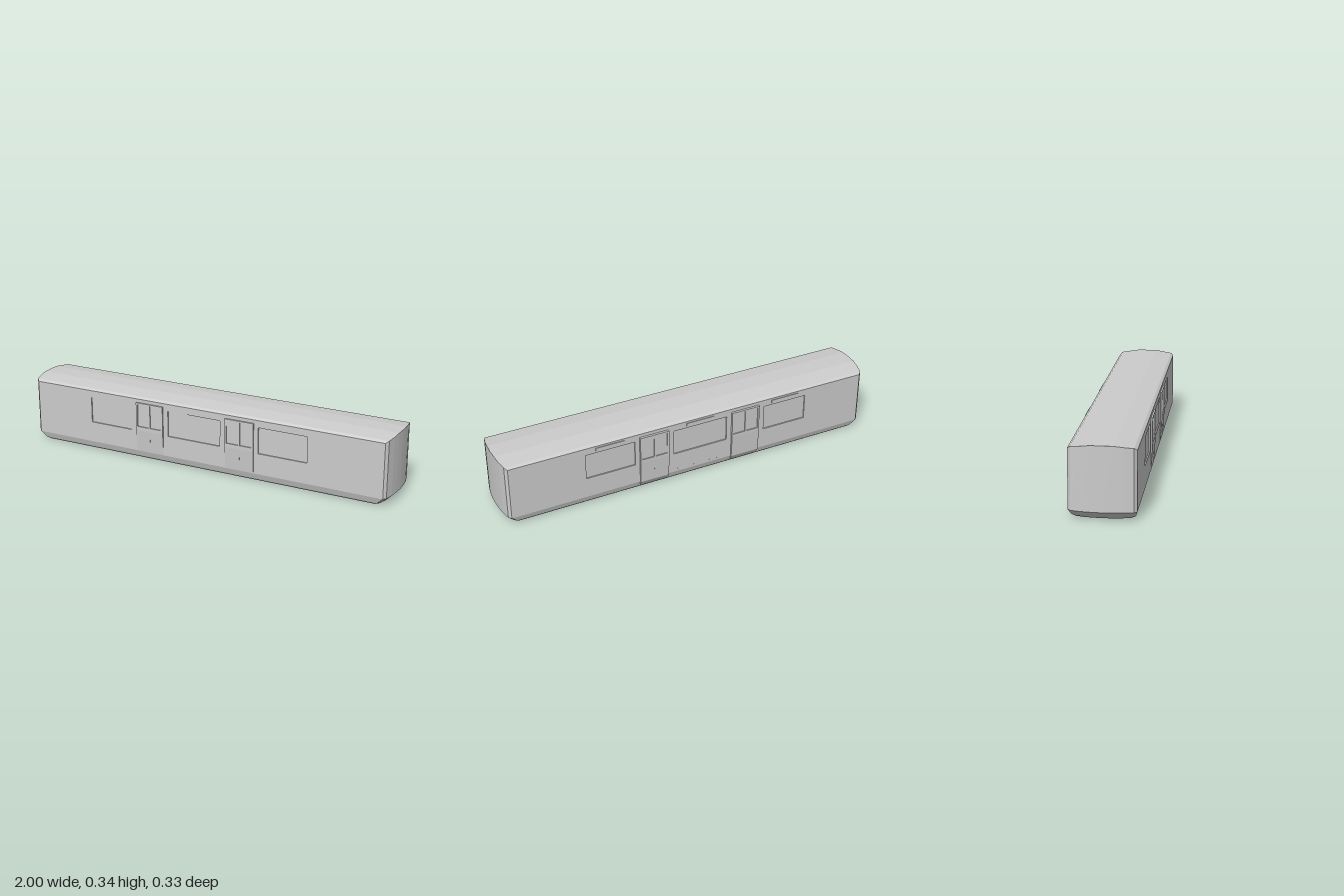
import * as THREE from 'three';

const GREY = new THREE.MeshStandardMaterial({ color: 0xcccccc, flatShading: true });
const GLASS = new THREE.MeshStandardMaterial({ color: 0xf2f2f2 });

const HALF = 0.1535;     // half width of the body
const CENTRE_Z = 0.0025; // body sits slightly forward, as the rear doors stand out further
const WALL_END = 0.97, WALL_LOW = 0.04, WALL_TOP = 0.32;

// Outline points across half the width: z, roof height, end position
const COLUMNS = [[0, 0.342, 1], [0.05, 0.342, 0.998], [0.095, 0.336, 0.993], [0.14, 0.33, 0.983], [HALF, WALL_TOP, WALL_END]];
// Lower levels: height, width factor, end inset
const LEVELS = [[0, 0.87, 0.045], [0.01, 0.935, 0.03], [WALL_LOW, 1, 0]];

const WINDOWS = [[-0.64, -0.4], [-0.185, 0.11], [0.32, 0.58]];
const DOORS = [[-0.367, -0.212], [0.141, 0.296]];
const WIN_Y = [0.148, 0.283];

function add(parent, name, geometry, material = GREY) {
  const mesh = new THREE.Mesh(geometry, material);
  mesh.name = name;
  parent.add(mesh);
  return mesh;
}

function box(parent, name, x0, x1, y0, y1, z0, z1, material) {
  const mesh = add(parent, name, new THREE.BoxGeometry(x1 - x0, y1 - y0, z1 - z0), material);
  mesh.position.set((x0 + x1) / 2, (y0 + y1) / 2, (z0 + z1) / 2);
  return mesh;
}

// Flat panel with rectangular openings; its outer face lies at z
function panel(x0, x1, y0, y1, holes, z, depth) {
  const trace = (path, a, b, c, d) => path.moveTo(a, c).lineTo(b, c).lineTo(b, d).lineTo(a, d).closePath();
  const shape = new THREE.Shape();
  trace(shape, x0, x1, y0, y1);
  for (const h of holes) {
    const hole = new THREE.Path();
    trace(hole, ...h);
    shape.holes.push(hole);
  }
  return new THREE.ExtrudeGeometry(shape, { depth, bevelEnabled: false }).translate(0, 0, z - depth);
}

// Roof, floor, lower skirts and bowed ends
function shellGeometry() {
  const cols = [...COLUMNS.slice(1).reverse().map(([z, y, x]) => [-z, y, x]), ...COLUMNS];
  const n = cols.length - 1;
  const point = (s, j, i) => {
    const [z, top, end] = cols[i];
    const [y, w, inset] = j < 3 ? LEVELS[j] : [top, 1, 0];
    return [s * (end - inset), y, z * w];
  };
  const P = (j, i) => point(1, j, i), M = (j, i) => point(-1, j, i);
  const out = [];
  const quad = (a, b, c, d) => out.push(...a, ...b, ...c, ...a, ...c, ...d);
  for (let i = 0; i < n; i++) {
    for (let j = 0; j < 3; j++) {
      quad(P(j, i + 1), P(j, i), P(j + 1, i), P(j + 1, i + 1));
      quad(M(j, i), M(j, i + 1), M(j + 1, i + 1), M(j + 1, i));
    }
    quad(M(3, i + 1), P(3, i + 1), P(3, i), M(3, i));
    quad(M(0, i), P(0, i), P(0, i + 1), M(0, i + 1));
  }
  for (let j = 0; j < 2; j++) {
    quad(M(j, n), P(j, n), P(j + 1, n), M(j + 1, n));
    quad(P(j, 0), M(j, 0), M(j + 1, 0), P(j + 1, 0));
  }
  const geometry = new THREE.BufferGeometry();
  geometry.setAttribute('position', new THREE.Float32BufferAttribute(out, 3));
  geometry.computeVertexNormals();
  return geometry;
}

// Double-leaf door: glazed upper half and sloping lower half
function door(x0, x1, face, lower) {
  const group = new THREE.Group();
  group.name = 'door';
  const mid = (x0 + x1) / 2;
  const panes = [[x0 + 0.009, mid - 0.004], [mid + 0.004, x1 - 0.009]];
  add(group, 'doorUpper', panel(x0, x1, 0.155, 0.302, panes.map(([a, b]) => [a, b, 0.175, 0.294]), face, face - HALF + 0.004));
  for (const [a, b] of panes) box(group, 'doorGlass', a, b, 0.175, 0.294, HALF, face - 0.005, GLASS);

  const shape = new THREE.Shape(lower.map(([z, y]) => new THREE.Vector2(z, y)));
  const geometry = new THREE.ExtrudeGeometry(shape, { depth: x1 - x0, bevelEnabled: false });
  add(group, 'doorLower', geometry.rotateY(-Math.PI / 2).translate(x1, 0, 0));

  box(group, 'doorHandle', mid - 0.003, mid + 0.003, 0.1, 0.112, HALF, face - 0.001);
  return group;
}

// One long side, facing +z; s = -1 keeps the x positions when turned to the rear
function side(s) {
  const group = new THREE.Group();
  group.name = s > 0 ? 'frontSide' : 'backSide';
  const span = ([a, b]) => (s > 0 ? [a, b] : [-b, -a]);
  const windows = WINDOWS.map(span);
  add(group, 'sideWall', panel(-WALL_END, WALL_END, WALL_LOW, WALL_TOP, windows.map((w) => [...w, ...WIN_Y]), HALF, 0.01));
  for (const [a, b] of windows) box(group, 'windowGlass', a, b, ...WIN_Y, HALF - 0.012, HALF - 0.006, GLASS);

  const face = s > 0 ? 0.1615 : 0.1655;
  const lower = s > 0
    ? [[0.148, 0.04], [HALF + 0.0005, 0.04], [face, 0.155], [0.148, 0.155]]
    : [[0.135, 0.01], [0.144, 0.01], [0.161, 0.04], [face, 0.155], [0.135, 0.155]];
  for (const d of DOORS.map(span)) group.add(door(...d, face, lower));

  if (s < 0) {
    // Ventilators above the rear windows
    for (const [a, b] of windows) {
      const c = (a + b) / 2;
      box(group, 'ventilator', c - 0.077, c + 0.077, 0.294, 0.31, HALF - 0.004, HALF + 0.003);
    }
    // Small studs along the rear sill
    for (let i = 0; i < 6; i++) {
      const x = -0.09 + i * 0.045;
      box(group, 'sillStud', x - 0.003, x + 0.003, 0.05, 0.055, HALF - 0.002, HALF + 0.001);
    }
    group.rotation.y = Math.PI;
  }
  group.position.z = CENTRE_Z;
  return group;
}

export function createModel() {
  const model = new THREE.Group();
  model.name = 'railwayCarriage';
  add(model, 'bodyShell', shellGeometry()).position.z = CENTRE_Z;
  model.add(side(1), side(-1));
  return model;
}
